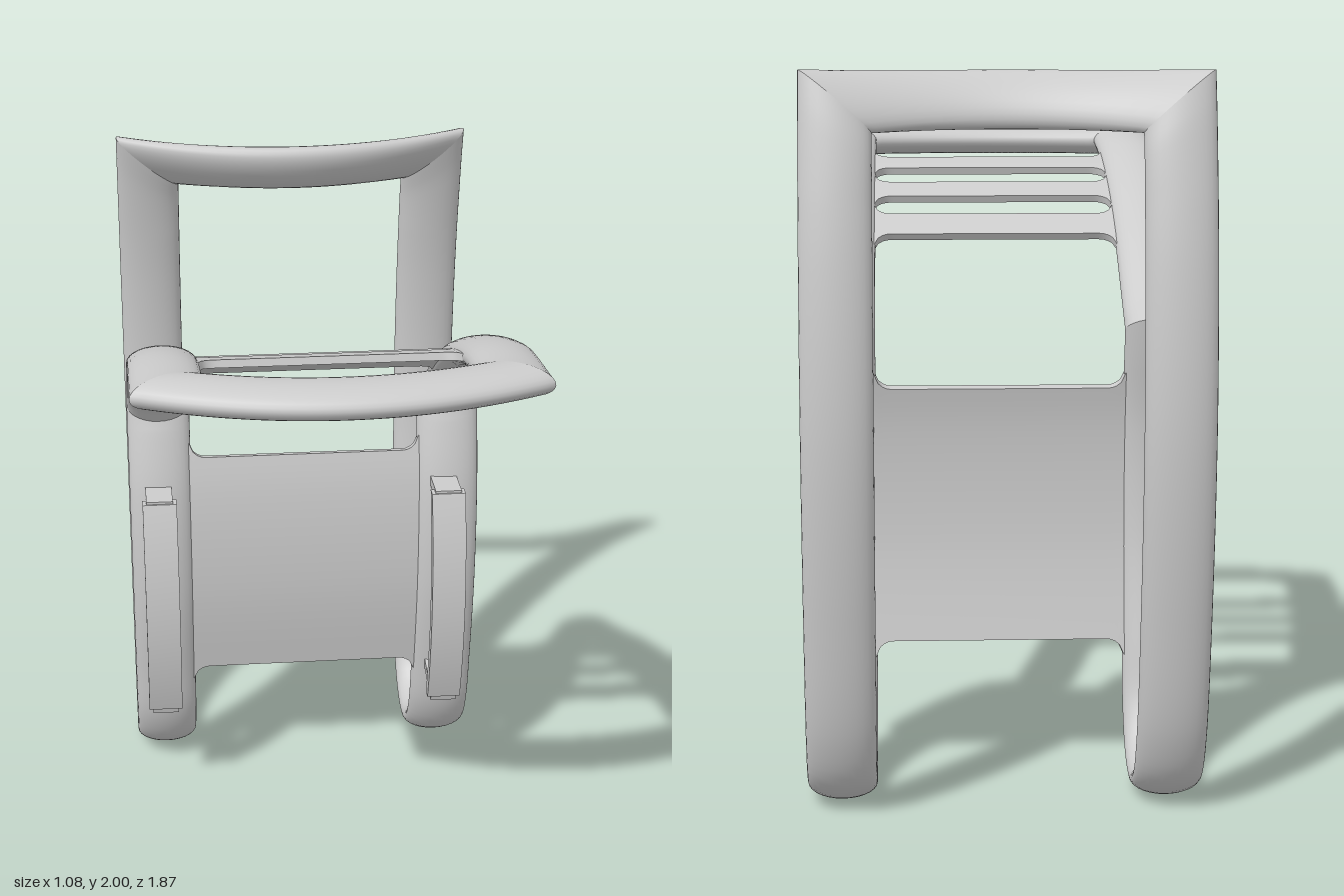
import * as THREE from 'three';

const material = new THREE.MeshStandardMaterial({ color: 0xcccccc });
const V = (x, y, z) => new THREE.Vector3(x, y, z);
const WIDE = 0.095, THIN = 0.045, RAIL_X = 0.445, SIDES = 28;

// Side path: seat from front to the knee, then down, around and up to the top
const path = pts => new THREE.CatmullRomCurve3(pts.map(([z, y]) => V(0, y, z)));
const seatPath = path([[0.745, 1.757], [0.456, 1.712], [0.058, 1.563], [-0.37, 1.275]]);
const backPath = path([[-0.37, 1.275], [-0.313, 0.996], [-0.307, 0.678], [-0.35, 0.376],
  [-0.392, 0.19], [-0.461, 0.09], [-0.578, 0.046], [-0.70, 0.095], [-0.774, 0.217],
  [-0.848, 0.572], [-0.893, 1.065], [-0.869, 1.5], [-0.812, 1.828], [-0.785, 1.92]]);

// Mitred sections where two pieces meet: wide (W) and thin (T) half-axes
const frontMitre = { W: V(WIDE, 0, 0.055), T: V(0, THIN, 0) };
const kneeMitre = { W: V(WIDE, 0, 0), T: V(0, 0.037, -0.052) };
const topMitre = { W: V(WIDE, 0.08, 0.02), T: V(0, -0.012, 0.043) };

function addMesh(parent, geometry, name) {
  const mesh = new THREE.Mesh(geometry, material);
  mesh.name = name;
  parent.add(mesh);
  return mesh;
}

// Skin over a row of elliptical sections {C, W, T}
function loft(rings) {
  const mid = rings.length >> 1;
  const along = rings[mid + 1].C.clone().sub(rings[mid - 1].C);
  const forward = rings[mid].W.clone().cross(rings[mid].T).dot(along) > 0;
  const positions = [], index = [];
  for (const { C, W, T } of rings) {
    for (let j = 0; j < SIDES; j++) {
      const a = (j / SIDES) * Math.PI * 2;
      const p = C.clone().addScaledVector(W, Math.cos(a)).addScaledVector(T, Math.sin(a));
      positions.push(p.x, p.y, p.z);
    }
  }
  for (let i = 0; i < rings.length - 1; i++) {
    for (let j = 0; j < SIDES; j++) {
      const k = (j + 1) % SIDES;
      const a = i * SIDES + j, b = i * SIDES + k, c = a + SIDES, d = b + SIDES;
      if (forward) index.push(a, b, d, a, d, c);
      else index.push(a, d, b, a, c, d);
    }
  }
  const g = new THREE.BufferGeometry();
  g.setAttribute('position', new THREE.Float32BufferAttribute(positions, 3));
  g.setIndex(index);
  g.computeVertexNormals();
  return g;
}

// Flat oval rail along a side path, blending into the mitre at each end
function rail(curve, side, n, start, end, reachStart, reachEnd) {
  const length = curve.getLength(), rings = [];
  for (let i = 0; i <= n; i++) {
    const u = i / n, C = curve.getPointAt(u), t = curve.getTangentAt(u);
    const W = V(WIDE, 0, 0), T = V(0, -t.z, t.y).multiplyScalar(THIN);
    for (const [m, d, reach] of [[start, u * length, reachStart], [end, (1 - u) * length, reachEnd]]) {
      const k = Math.max(0, 1 - d / reach);
      W.lerp(m.W, k);
      T.lerp(m.T, k);
    }
    C.x = RAIL_X * side;
    W.x *= side;
    rings.push({ C, W, T });
  }
  return loft(rings);
}

// Bowed cross bar from one mitre to the other
function bar(endC, end, midC, midW, midT) {
  const rings = [];
  for (let i = 0; i <= 40; i++) {
    const t = i / 20 - 1, k = t * t;
    const C = midC.clone().lerp(endC, k), W = midW.clone().lerp(end.W, k);
    C.x = RAIL_X * t;
    W.x = WIDE * t;
    rings.push({ C, W, T: midT.clone().lerp(end.T, k) });
  }
  return loft(rings);
}

// Path parameter where the given coordinate (falling along the path) has a value
function findU(curve, axis, value, hi) {
  let lo = 0;
  for (let i = 0; i < 25; i++) {
    const m = (lo + hi) / 2;
    if (curve.getPointAt(m)[axis] > value) lo = m; else hi = m;
  }
  return lo;
}

// Thin web between the rails following the path, with filleted ends
function web(curve, axis, from, to, hi, thickness, rows) {
  const g = new THREE.BoxGeometry(0.76, 1, thickness, 60, rows, 1);
  const p = g.attributes.position, r = 0.05;
  for (let i = 0; i < p.count; i++) {
    const x = p.getX(i), y = p.getY(i);
    const over = THREE.MathUtils.clamp(Math.abs(x) - (0.355 - r), 0, r);
    const flare = r - Math.sqrt(r * r - over * over);
    const value = from + (to - from) * (y + 0.5) + flare * 2 * y;
    const u = findU(curve, axis, value, hi);
    const c = curve.getPointAt(u), t = curve.getTangentAt(u), d = p.getZ(i);
    p.setXYZ(i, x, c.y + t.z * -d, c.z + t.y * d);
  }
  // Keep the faces outward whichever way the path normal points
  const idx = g.index.array, a = V(), b = V(), c = V(), centre = V();
  g.computeBoundingBox();
  g.boundingBox.getCenter(centre);
  [a, b, c].forEach((v, k) => v.fromBufferAttribute(p, idx[k]));
  if (b.clone().sub(a).cross(c.clone().sub(a)).dot(a.clone().sub(centre)) < 0) {
    for (let i = 0; i < idx.length; i += 3) [idx[i], idx[i + 1]] = [idx[i + 1], idx[i]];
  }
  g.computeVertexNormals();
  return g;
}

// Bowed strip held off the back panel by two short arms
function grip(x) {
  const group = new THREE.Group();
  const g = new THREE.BoxGeometry(0.103, 0.705, 0.036, 1, 20, 1), p = g.attributes.position;
  for (let i = 0; i < p.count; i++) {
    const k = p.getY(i) / 0.3525;
    p.setZ(i, p.getZ(i) - 0.055 * k * k);
  }
  g.computeVertexNormals();
  addMesh(group, g, 'gripStrip').position.set(0, 0.678, -0.123);
  const arms = [[V(0, 1.023, -0.165), V(0, 1.023, -0.31)], [V(0, 0.322, -0.165), V(0, 0.366, -0.32)]];
  for (const [a, b] of arms) {
    const arm = addMesh(group, new THREE.BoxGeometry(0.08, 0.03, a.distanceTo(b)), 'gripArm');
    arm.position.copy(a).lerp(b, 0.5);
    arm.rotation.x = Math.atan2(b.y - a.y, a.z - b.z);
  }
  group.position.x = x;
  return group;
}

export function createModel() {
  const model = new THREE.Group();
  model.name = 'loungeFrame';

  // Side rails
  for (const [side, label] of [[1, 'left'], [-1, 'right']]) {
    addMesh(model, rail(seatPath, side, 50, frontMitre, kneeMitre, 0.25, 0.08), label + 'SeatRail');
    addMesh(model, rail(backPath, side, 120, kneeMitre, topMitre, 0.08, 0.25), label + 'BackRail');
  }

  // Cross bars closing the loop
  addMesh(model, bar(V(0, 1.757, 0.745), frontMitre,
    V(0, 1.757, 0.84), V(0, 0, WIDE), V(0, THIN, 0)), 'frontBar');
  addMesh(model, bar(V(0, 1.92, -0.785), topMitre,
    V(0, 1.922, -0.658), V(0, 0.07, 0.065), V(0, -0.031, 0.033)), 'topBar');

  // Seat slats and back panel
  for (const [a, b] of [[-0.035, 0.055], [0.15, 0.24], [0.345, 0.442]]) {
    addMesh(model, web(seatPath, 'z', a, b, 1, 0.022, 4), 'seatSlat');
  }
  addMesh(model, web(backPath, 'y', 0.38, 1.11, 0.36, 0.03, 24), 'backPanel');

  // Grips
  for (const [x, label] of [[0.428, 'left'], [-0.453, 'right']]) {
    const g = grip(x);
    g.name = label + 'Grip';
    model.add(g);
  }
  return model;
}
